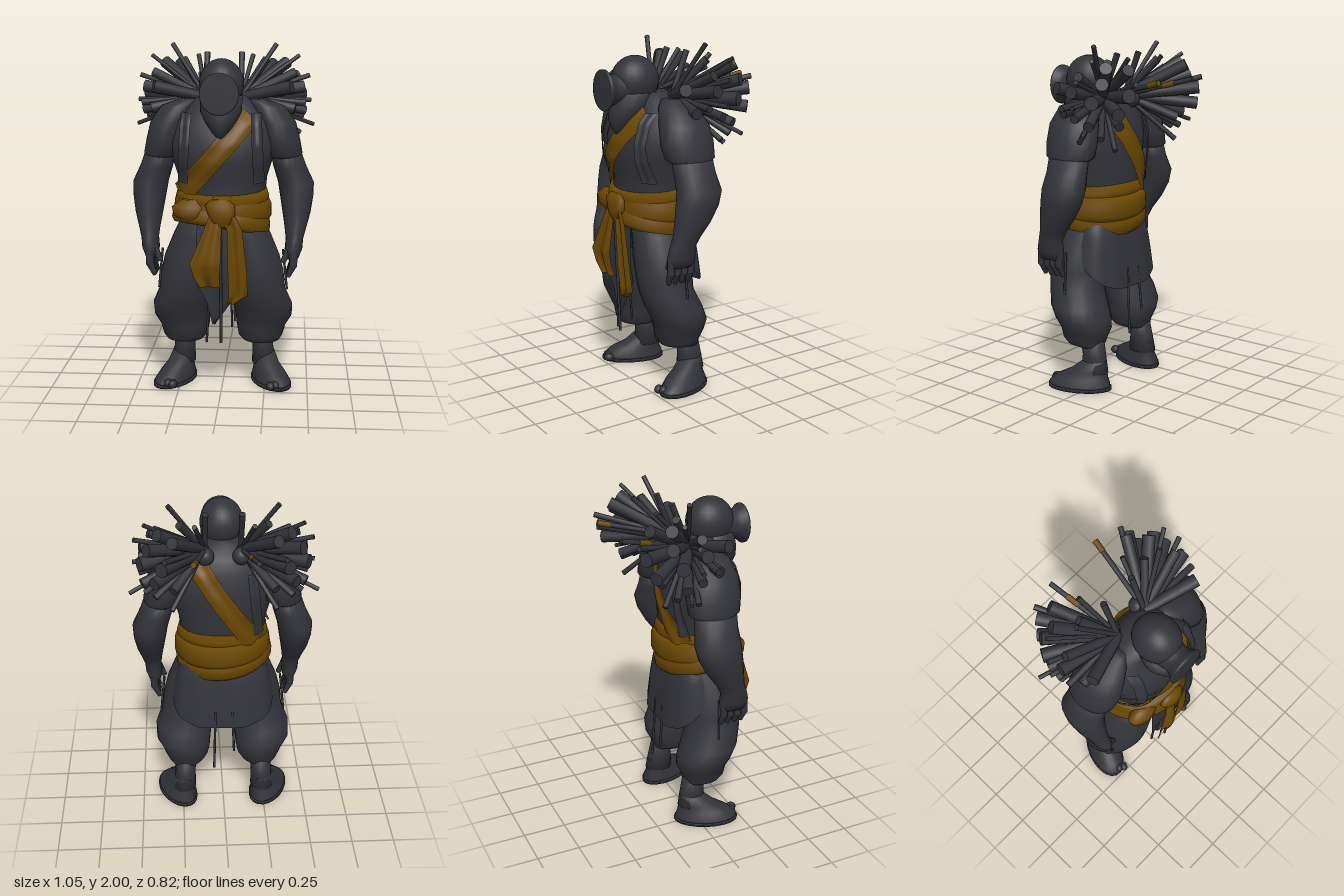
import * as THREE from 'three';

const charcoal = new THREE.MeshStandardMaterial({ color: 0x33343a, side: THREE.DoubleSide });
charcoal.name = 'charcoal';
const ochre = new THREE.MeshStandardMaterial({ color: 0x6c4803, side: THREE.DoubleSide });
ochre.name = 'ochre';

// torso rings, bottom to top: [x, y, z, half width, half depth]
const TORSO = [[0, 0.82, 0.1, 0.2, 0.15], [0, 1.0, 0.11, 0.24, 0.2], [0, 1.15, 0.1, 0.245, 0.2],
  [0, 1.25, 0.1, 0.255, 0.2], [0, 1.35, 0.11, 0.285, 0.215], [0, 1.45, 0.11, 0.31, 0.21], [0, 1.57, 0.1, 0.29, 0.18],
  [0, 1.65, 0.09, 0.21, 0.13], [0, 1.72, 0.11, 0.11, 0.1]];

function toGeometry(pos, idx) {
  const g = new THREE.BufferGeometry();
  g.setAttribute('position', new THREE.Float32BufferAttribute(pos, 3));
  g.setIndex(idx);
  g.computeVertexNormals();
  return g;
}

function part(group, name, geo, mat) {
  const m = new THREE.Mesh(geo, mat);
  m.name = name;
  group.add(m);
  return m;
}

// closed skin over elliptical rings, side s mirrors x
function loft(rings, s = 1, seg = 20) {
  const list = rings[0][1] < rings[rings.length - 1][1] ? rings : [...rings].reverse();
  const pos = [], idx = [], n = list.length;
  for (const [x, y, z, rx, rz] of list) {
    for (let j = 0; j < seg; j++) {
      const a = (j / seg) * Math.PI * 2;
      pos.push(x * s + rx * Math.cos(a), y, z + rz * Math.sin(a));
    }
  }
  for (const [x, y, z] of [list[0], list[n - 1]]) pos.push(x * s, y, z);
  const lo = n * seg, hi = lo + 1;
  for (let j = 0; j < seg; j++) {
    const k = (j + 1) % seg, t = (n - 1) * seg;
    for (let i = 0; i < n - 1; i++) {
      const a = i * seg + j, b = i * seg + k;
      idx.push(a, a + seg, b, b, a + seg, b + seg);
    }
    idx.push(lo, j, k, hi, t + k, t + j);
  }
  return toGeometry(pos, idx);
}

// open sheet from a function of (u, v)
function sheet(fn, nu = 12, nv = 8) {
  const pos = [], idx = [];
  for (let i = 0; i <= nv; i++) for (let j = 0; j <= nu; j++) pos.push(...fn(j / nu, i / nv));
  for (let i = 0; i < nv; i++) {
    for (let j = 0; j < nu; j++) {
      const a = i * (nu + 1) + j, b = a + nu + 1;
      idx.push(a, b, a + 1, a + 1, b, b + 1);
    }
  }
  return toGeometry(pos, idx);
}

// hanging cloth through rows [left x, right x, y, z]
function cloth(rows, ripple = 0.01) {
  return sheet((u, v) => {
    const f = v * (rows.length - 1), i = Math.min(Math.floor(f), rows.length - 2), t = f - i;
    const [l, r, y, z] = rows[i].map((p, k) => p + (rows[i + 1][k] - p) * t);
    return [l + (r - l) * u, y, z + ripple * Math.cos(u * 9) * (0.4 + v)];
  }, 16, 12);
}

// band laid on the torso from A to B, front (1) or back (-1)
function band([ax, ay], [bx, by], half, side, lift) {
  const d = Math.hypot(bx - ax, by - ay), px = -(by - ay) / d, py = (bx - ax) / d;
  return sheet((u, v) => {
    const w = (u * 2 - 1) * half;
    const x = ax + (bx - ax) * v + px * w, y = ay + (by - ay) * v + py * w;
    let i = 0;
    while (i < TORSO.length - 2 && TORSO[i + 1][1] < y) i++;
    const t = Math.min(1, (y - TORSO[i][1]) / (TORSO[i + 1][1] - TORSO[i][1]));
    const [, , cz, rx, rz] = TORSO[i].map((p, k) => p + (TORSO[i + 1][k] - p) * t);
    const q = Math.sqrt(Math.max(0, 1 - (x / (rx + lift)) ** 2));
    return [x, y, cz + side * ((rz + lift) * q + 0.004 * Math.cos(u * 9))];
  }, 12, 20);
}

function rod(group, name, from, to, r, mat = charcoal, seg = 10, tip = r) {
  const a = new THREE.Vector3(...from), b = new THREE.Vector3(...to), d = b.clone().sub(a);
  const m = part(group, name, new THREE.CylinderGeometry(tip, r, d.length(), seg), mat);
  m.position.copy(a).addScaledVector(d, 0.5);
  m.quaternion.setFromUnitVectors(new THREE.Vector3(0, 1, 0), d.normalize());
}

function ball(group, name, p, r) {
  const m = part(group, name, new THREE.SphereGeometry(1, 24, 16), charcoal);
  m.position.set(...p);
  m.scale.set(...r);
}

// stick tips: [x, y, z, radius]
const STICKS = [[.10, 1.94, -.08, .018], [.16, 1.92, -.2, .014], [.30, 1.99, -.07, .014], [.43, 1.92, -.16, .012],
  [.36, 1.88, -.2, .036], [.28, 1.87, -.29, .034], [.32, 1.8, -.37, .016], [.34, 1.74, -.34, .04],
  [.42, 1.8, -.22, .036], [.49, 1.81, -.1, .014], [.46, 1.75, -.04, .036], [.46, 1.7, -.18, .04],
  [.38, 1.64, -.3, .036], [.47, 1.66, .02, .02], [.39, 1.76, .12, .036], [.41, 1.63, .06, .032],
  [.52, 1.52, -.16, .012], [.45, 1.57, -.15, .03], [.38, 1.5, -.18, .02], [.29, 1.43, -.21, .015],
  [.28, 1.56, -.23, .028], [.24, 1.9, -.12, .024], [.44, 1.48, -.08, .016], [.5, 1.67, -.08, .013],
  [.47, 1.61, -.07, .026], [.41, 1.83, -.05, .028]];

export function createModel() {
  const g = new THREE.Group();
  g.name = 'wanderer';

  // head, jaw and flared mask
  part(g, 'torso', loft(TORSO, 1, 32), charcoal);
  ball(g, 'head', [0, 1.78, 0.2], [0.125, 0.14, 0.14]);
  part(g, 'jaw', loft([[0, 1.72, .22, .12, .12], [0, 1.63, .25, .115, .11], [0, 1.57, .265, .085, .1],
    [0, 1.52, .28, .048, .07], [0, 1.485, .295, .015, .03]]), charcoal);
  const profile = [[0.11, 0.2], [0.09, 0.28], [0.078, 0.34], [0.086, 0.37], [0.107, 0.395], [0.108, 0.408], [0.1, 0.41], [0, 0.41]];
  const mask = part(g, 'mask', new THREE.LatheGeometry(profile.map(p => new THREE.Vector2(...p)), 28), charcoal);
  mask.rotation.x = Math.PI / 2;
  mask.scale.z = 1.07;
  mask.position.y = 1.738;

  for (const s of [1, -1]) {
    // arm and sleeve
    part(g, 'sleeve', loft([[.18, 1.69, .08, .05, .05], [.25, 1.65, .08, .1, .11], [.3, 1.56, .07, .115, .15],
      [.325, 1.46, .065, .115, .16], [.345, 1.38, .06, .11, .15], [.355, 1.36, .06, .09, .12]], s), charcoal);
    part(g, 'arm', loft([[.355, 1.4, .06, .088, .125], [.385, 1.3, .055, .095, .125], [.42, 1.21, .05, .103, .135],
      [.425, 1.13, .065, .095, .13], [.425, 1.04, .095, .08, .11], [.42, .96, .13, .062, .085],
      [.415, .9, .155, .05, .08], [.41, .84, .16, .05, .09], [.405, .79, .16, .035, .08]], s), charcoal);
    for (let k = 0; k < 4; k++) {
      const z = 0.095 + k * 0.043;
      rod(g, 'finger', [.41 * s, .83, z], [.41 * s, .75, z + .005], .024, charcoal, 8, .022);
      rod(g, 'fingertip', [.41 * s, .76, z + .005], [.38 * s, .69, z], .022, charcoal, 8, .013);
    }
    rod(g, 'thumb', [.4 * s, .88, .2], [.35 * s, .77, .21], .026, charcoal, 8, .016);

    // baggy trouser leg
    part(g, 'trouserLeg', loft([[.11, 1.02, .12, .12, .17], [.14, .92, .13, .14, .165], [.17, .8, .135, .16, .165],
      [.195, .7, .135, .16, .165], [.21, .6, .13, .155, .16], [.235, .5, .095, .172, .165], [.24, .42, .06, .165, .16],
      [.225, .36, .05, .145, .15], [.222, .3, .06, .13, .13], [.225, .27, .05, .11, .115], [.23, .255, .02, .08, .08]], s, 24), charcoal);
    part(g, 'shin', loft([[.23, .3, .005, .066, .07], [.235, .2, -.015, .062, .072], [.24, .1, -.02, .07, .085]], s), charcoal);

    // bare foot turned outward
    const foot = new THREE.Group();
    foot.name = 'foot';
    foot.position.set(.245 * s, 0, -.02);
    foot.rotation.y = .38 * s;
    part(foot, 'instep', loft([[0, .17, -.005, .06, .07], [0, .11, .03, .07, .11], [.005, .07, .07, .085, .155],
      [.01, .03, .085, .1, .185], [.01, .015, .085, .1, .185]], s), charcoal);
    part(foot, 'sole', loft([[.01, .018, .085, .107, .192], [.01, 0, .085, .107, .192]], s), charcoal);
    for (let k = 0; k < 5; k++) {
      ball(foot, 'toe', [(-.055 + k * .032) * s, .03, .245 - .006 * k * k], [.024, .025, .03]);
    }
    g.add(foot);

    // shoulder straps and loose cords
    part(g, 'frontStrap', band([.195 * s, 1.62], [.215 * s, 1.23], .03, 1, .028), charcoal);
    rod(g, 'sideCord', [.35 * s, .82, .1], [.375 * s, .58, .09], .007);
    rod(g, 'backCord', [.05 * s, .7, -.12], [.06 * s, s > 0 ? .31 : .43, -.14], .007);

    // fan of sticks carried behind each shoulder
    for (const [x, y, z, r] of STICKS) rod(g, 'stick', [.1 * s, 1.69, .02], [x * s, y, z], r * .8, charcoal, 10, r);
    const root = [.1 * s, 1.69, .02], tip = [.17 * s, 1.8, -.41];
    const at = t => root.map((p, k) => p + (tip[k] - p) * t);
    rod(g, 'longStick', root, at(.99), .014);
    const [from, to] = s > 0 ? [.84, 1] : [.58, .74];
    rod(g, 'stickWrap', at(from), at(to), .0165, ochre);
    ball(g, 'bundleKnot', [.1 * s, 1.67, -.03], [.05, .05, .05]);
  }
  part(g, 'backStrap', band([-.16, 1.58], [-.205, 1.19], .028, -1, .03), charcoal);

  // diagonal sash, front and back
  part(g, 'frontSash', band([.165, 1.61], [-.23, 1.16], .06, 1, .018), ochre);
  part(g, 'backSash', band([.15, 1.63], [-.18, 1.14], .06, -1, .022), ochre);

  // folded waist wrap, the lower folds dipping to the left and the back
  const belt = new THREE.Group();
  belt.name = 'waistWrap';
  belt.position.set(0, 1.05, .1);
  const lower = part(belt, 'lowerFold', loft([[0, -.105, 0, .268, .222], [0, -.08, 0, .285, .243], [0, -.03, 0, .282, .24], [0, .02, 0, .262, .22]], 1, 32), ochre);
  lower.rotation.set(-.2, 0, -.14);
  const upper = part(belt, 'upperFold', loft([[0, -.05, 0, .262, .22], [0, -.01, 0, .283, .24], [0, .06, 0, .277, .235], [0, .1, 0, .255, .215]], 1, 32), ochre);
  upper.rotation.set(-.06, 0, -.05);
  part(belt, 'topFold', loft([[0, .03, 0, .255, .215], [0, .09, 0, .268, .226], [0, .135, 0, .255, .214]], 1, 32), ochre).rotation.x = .1;
  g.add(belt);
  part(g, 'knot', loft([[0, 1.15, .33, .05, .02], [0, 1.12, .335, .085, .038], [.01, 1.06, .335, .075, .04], [.01, 1.0, .33, .05, .03]]), ochre);
  part(g, 'knotLoop', loft([[-.16, 1.14, .27, .06, .03], [-.17, 1.1, .275, .105, .055], [-.17, 1.05, .275, .095, .055], [-.15, 1.015, .27, .05, .03]]), ochre);

  // hanging ends and loincloth
  part(g, 'shortTail', cloth([[-.06, .02, 1.06, .35], [-.09, .01, .98, .365], [-.165, .005, .8, .39], [-.145, .0, .72, .375], [-.11, 0, .655, .355]]), ochre);
  part(g, 'longTail', cloth([[.02, .09, 1.06, .355], [.04, .125, .98, .355], [.045, .15, .75, .345], [.05, .155, .6, .33], [.04, .09, .55, .32]]), ochre);
  part(g, 'loincloth', cloth([[-.13, .12, 1.02, .31], [-.14, .14, .75, .325], [-.13, .15, .66, .315], [-.075, .06, .55, .3], [-.045, -.03, .42, .29]], .006), charcoal);
  rod(g, 'frontCord', [.005, 1, .345], [.005, .32, .315], .008);
  rod(g, 'frontCord', [-.06, .7, .29], [-.08, .31, .28], .007);
  rod(g, 'frontCord', [.06, .7, .29], [.065, .4, .27], .006);

  // rear skirt with a low hem at the back
  part(g, 'rearSkirt', sheet((u, v) => {
    const a = Math.PI * (1 + u), c = Math.cos(a), back = Math.abs(Math.sin(a)) ** .7;
    const y = .98 + v * (.76 - .17 * back - .98);
    const depth = .115 + .06 * v ** .6 + .005 * Math.cos(u * 30) * v;
    return [Math.sign(c) * Math.abs(c) ** .75 * (.235 + .065 * v ** .6), y, .04 - back * depth];
  }, 32, 8), charcoal);
  return g;
}
